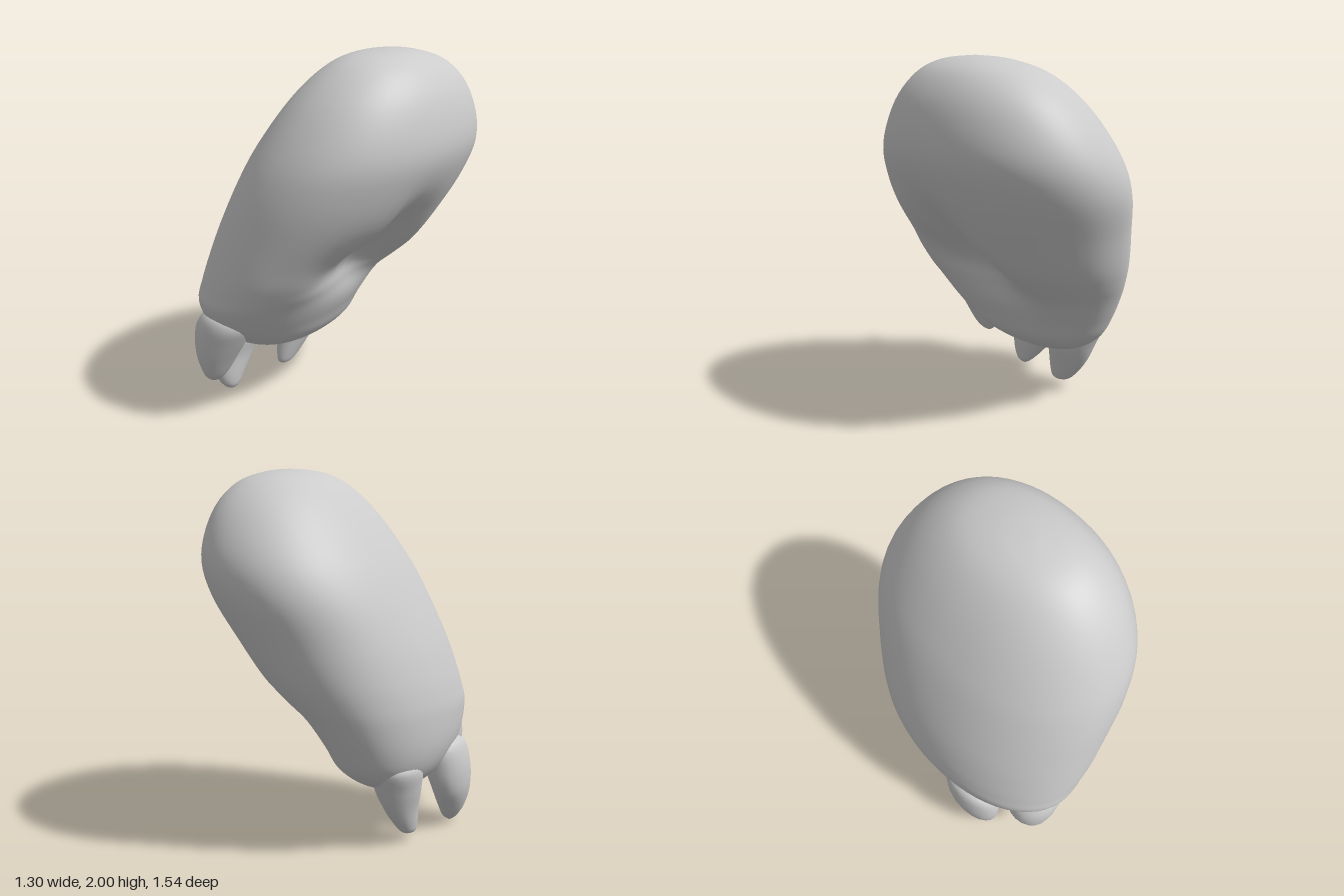
import * as THREE from 'three';

const material = new THREE.MeshStandardMaterial({ color: 0xcccccc });

// Smooth interpolation through the numbers of neighbouring rings
function sampleRings(rings, t) {
  const last = rings.length - 1;
  const i = Math.min(Math.floor(t * last), last - 1);
  const f = t * last - i;
  const at = k => rings[Math.max(0, Math.min(last, k))];
  return rings[0].map((_, n) => {
    const a = at(i - 1)[n], b = at(i)[n], c = at(i + 1)[n], d = at(i + 2)[n];
    return b + 0.5 * f * (c - a + f * (2 * a - 5 * b + 4 * c - d + f * (3 * (b - c) + d - a)));
  });
}

// Closed surface through level rings [y, xMin, xMax, zMin, zMax], top to bottom
function loft(name, rings, rows, cols, power, deform) {
  const positions = [], indices = [];
  for (let r = 0; r <= rows; r++) {
    const [y, x0, x1, z0, z1] = sampleRings(rings, r / rows);
    for (let c = 0; c < cols; c++) {
      const a = (c / cols) * Math.PI * 2;
      const round = v => Math.sign(v) * Math.abs(v) ** power;
      const p = new THREE.Vector3(
        (x0 + x1) / 2 + ((x1 - x0) / 2) * round(Math.cos(a)),
        y,
        (z0 + z1) / 2 + ((z1 - z0) / 2) * round(Math.sin(a)));
      if (deform) deform(p, Math.max(0, Math.cos(a)));
      positions.push(p.x, p.y, p.z);
      if (r < rows) {
        const i = r * cols + c, j = r * cols + (c + 1) % cols;
        indices.push(i, j, i + cols, j, j + cols, i + cols);
      }
    }
  }
  const geometry = new THREE.BufferGeometry();
  geometry.setAttribute('position', new THREE.Float32BufferAttribute(positions, 3));
  geometry.setIndex(indices);
  geometry.computeVertexNormals();
  // The collapsed end rings share one normal each
  const normal = geometry.attributes.normal;
  for (let c = 0; c < cols; c++) {
    normal.setXYZ(c, 0, 1, 0);
    normal.setXYZ(rows * cols + c, 0, -1, 0);
  }
  const mesh = new THREE.Mesh(geometry, material);
  mesh.name = name;
  return mesh;
}

const bump = (v, centre, width) => Math.exp(-(((v - centre) / width) ** 2));

// Shallow slanting crease above the pad, with a hollow rising from its middle
function pressPalm(p, facing) {
  const crease = 0.85 + 0.17 * p.z;
  const side = THREE.MathUtils.smoothstep(p.z, -0.35, 0.05)
    * (1 - 0.75 * THREE.MathUtils.smoothstep(p.z, 0.25, 0.65));
  const depth = 0.16 * side * bump(p.y, crease, p.y > crease ? 0.17 : 0.15)
    + 0.12 * bump(p.y, 1.06, 0.19) * bump(p.z, 0.1, p.z > 0.1 ? 0.11 : 0.18);
  p.x -= depth * facing;
}

export function createModel() {
  const group = new THREE.Group();
  group.name = 'paw';

  group.add(loft('pawBody', [
    [2.0, 0.27, 0.27, -0.02, -0.02],
    [1.98, 0.12, 0.4, -0.22, 0.19],
    [1.91, -0.02, 0.52, -0.44, 0.35],
    [1.76, -0.17, 0.61, -0.62, 0.51],
    [1.54, -0.325, 0.645, -0.745, 0.645],
    [1.34, -0.43, 0.585, -0.765, 0.71],
    [1.1, -0.53, 0.46, -0.69, 0.745],
    [0.92, -0.585, 0.345, -0.63, 0.765],
    [0.8, -0.61, 0.23, -0.575, 0.77],
    [0.7, -0.62, 0.125, -0.52, 0.765],
    [0.55, -0.61, 0.025, -0.44, 0.67],
    [0.43, -0.57, -0.045, -0.365, 0.52],
    [0.34, -0.5, -0.16, -0.24, 0.35],
    [0.3, -0.42, -0.27, -0.09, 0.18],
    [0.29, -0.35, -0.35, 0.05, 0.05],
  ], 70, 56, 0.94, pressPalm));

  // Claws, each tapering to a blunt tip
  const claws = {
    frontClaw: [
      [0.67, -0.3, -0.3, 0.66, 0.66],
      [0.645, -0.4, -0.2, 0.54, 0.735],
      [0.58, -0.475, -0.165, 0.48, 0.76],
      [0.48, -0.5, -0.21, 0.47, 0.76],
      [0.37, -0.485, -0.275, 0.5, 0.745],
      [0.27, -0.455, -0.335, 0.54, 0.71],
      [0.22, -0.435, -0.375, 0.58, 0.665],
      [0.2, -0.41, -0.41, 0.62, 0.62],
    ],
    middleClaw: [
      [0.53, -0.56, -0.56, 0.28, 0.28],
      [0.49, -0.62, -0.46, 0.13, 0.44],
      [0.36, -0.65, -0.42, 0.12, 0.495],
      [0.22, -0.645, -0.45, 0.17, 0.5],
      [0.1, -0.605, -0.465, 0.27, 0.48],
      [0.03, -0.56, -0.48, 0.34, 0.44],
      [0.0, -0.52, -0.52, 0.39, 0.39],
    ],
    backClaw: [
      [0.52, -0.42, -0.42, -0.15, -0.15],
      [0.45, -0.54, -0.3, -0.3, 0.02],
      [0.32, -0.53, -0.29, -0.26, 0.05],
      [0.2, -0.5, -0.33, -0.2, 0.06],
      [0.1, -0.48, -0.37, -0.12, 0.065],
      [0.05, -0.465, -0.395, -0.06, 0.055],
      [0.03, -0.43, -0.43, 0.01, 0.01],
    ],
  };
  for (const [name, rings] of Object.entries(claws)) {
    group.add(loft(name, rings, 28, 20, 1));
  }
  return group;
}
